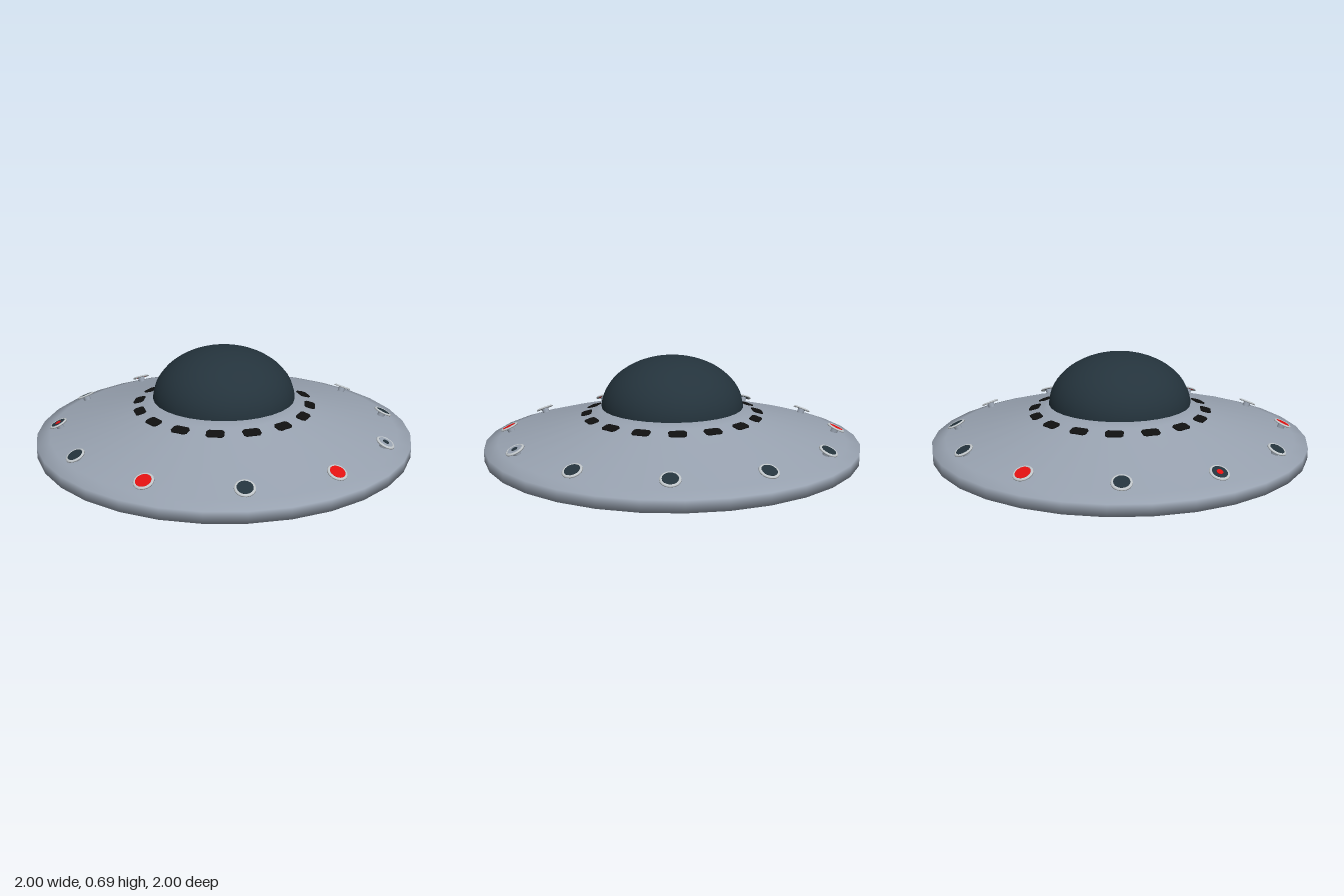
import * as THREE from 'three';

const mat = (name, color, side = THREE.FrontSide) => {
  const m = new THREE.MeshStandardMaterial({ color, side });
  m.name = name;
  return m;
};
const hull = mat('hull grey', 0x98a2b0);
const glass = mat('dark glass', 0x24333c);
const black = mat('window black', 0x101010);
const silver = mat('ring silver', 0xc3c9cd, THREE.DoubleSide);
const red = mat('lamp red', 0xe01010);

const SEG = 32;
const lathe = (pts, seg) =>
  new THREE.LatheGeometry(pts.map(([x, y]) => new THREE.Vector2(x, y)), seg);

function add(parent, name, geometry, material, y = 0, z = 0, tilt = 0) {
  const mesh = new THREE.Mesh(geometry, material);
  mesh.name = name;
  mesh.position.set(0, y, z);
  mesh.rotation.x = tilt;
  parent.add(mesh);
  return mesh;
}

// Thin plate with cut corners
function plateGeometry(w, h, c) {
  const x = w / 2, y = h / 2;
  const corners = [[-x + c, -y], [x - c, -y], [x, -y + c], [x, y - c],
    [x - c, y], [-x + c, y], [-x, y - c], [-x, -y + c]];
  const shape = new THREE.Shape(corners.map(([a, b]) => new THREE.Vector2(a, b)));
  const g = new THREE.ExtrudeGeometry(shape, { depth: 0.008, bevelEnabled: false });
  return g.translate(0, 0, -0.003);
}

// Copies of a part spaced evenly around the hull
function around(parent, name, count, offset, build) {
  const group = new THREE.Group();
  group.name = name;
  for (let i = 0; i < count; i++) {
    const spoke = new THREE.Group();
    spoke.name = name + (i + 1);
    spoke.rotation.y = ((i + offset) / count) * Math.PI * 2;
    build(spoke, i);
    group.add(spoke);
  }
  parent.add(group);
}

export function createModel() {
  const model = new THREE.Group();
  model.name = 'flyingSaucer';

  // Saucer body with a softly rounded rim
  add(model, 'saucerHull', lathe([
    [0, 0], [0.37, 0], [0.93, 0.164], [1, 0.188], [1, 0.246],
    [0.93, 0.266], [0.41, 0.401], [0.38, 0.425], [0, 0.425],
  ], SEG), hull);

  // Cockpit dome
  const dome = new THREE.SphereGeometry(0.38, SEG, 16, 0, Math.PI * 2, 0, Math.PI / 2);
  dome.scale(1, 0.275 / 0.38, 1);
  add(model, 'cockpitDome', dome, glass, 0.42);

  // Window bands above and below
  const upper = plateGeometry(0.09, 0.056, 0.012);
  const lower = plateGeometry(0.11, 0.052, 0.012);
  around(model, 'upperWindow', 16, 0.5, (s) =>
    add(s, 'upperPane', upper, black, 0.388, 0.46, -Math.PI / 2 + 0.254));
  around(model, 'lowerWindow', 16, 0.5, (s) =>
    add(s, 'lowerPane', lower, black, 0.052, 0.548, Math.PI / 2 - 0.285));

  // Rim lamps: silver ring, lens and a short hidden stem
  const ring = lathe([[0.036, -0.003], [0.05, -0.003], [0.049, 0.002],
    [0.042, 0.007], [0.036, 0.003], [0.036, -0.003]], 16);
  const lens = new THREE.CylinderGeometry(0.038, 0.038, 0.006, 16);
  const bulb = new THREE.CylinderGeometry(0.016, 0.016, 0.006, 12);
  const stem = new THREE.CylinderGeometry(0.02, 0.02, 0.045, 10);
  const lensColours = { 1: red, 2: hull, 7: red, 11: red };
  const bulbColours = { 2: glass, 9: red };
  around(model, 'rimLamp', 12, 0, (s, i) => {
    const lamp = new THREE.Group();
    lamp.name = 'lamp';
    lamp.position.set(0, 0.303, 0.885);
    lamp.rotation.x = 0.43;
    add(lamp, 'lampRing', ring, silver);
    add(lamp, 'lampLens', lens, lensColours[i] || glass, 0.002);
    add(lamp, 'lampStem', stem, hull, -0.024);
    if (bulbColours[i]) add(lamp, 'lampBulb', bulb, bulbColours[i], 0.004);
    s.add(lamp);
  });

  return model;
}
